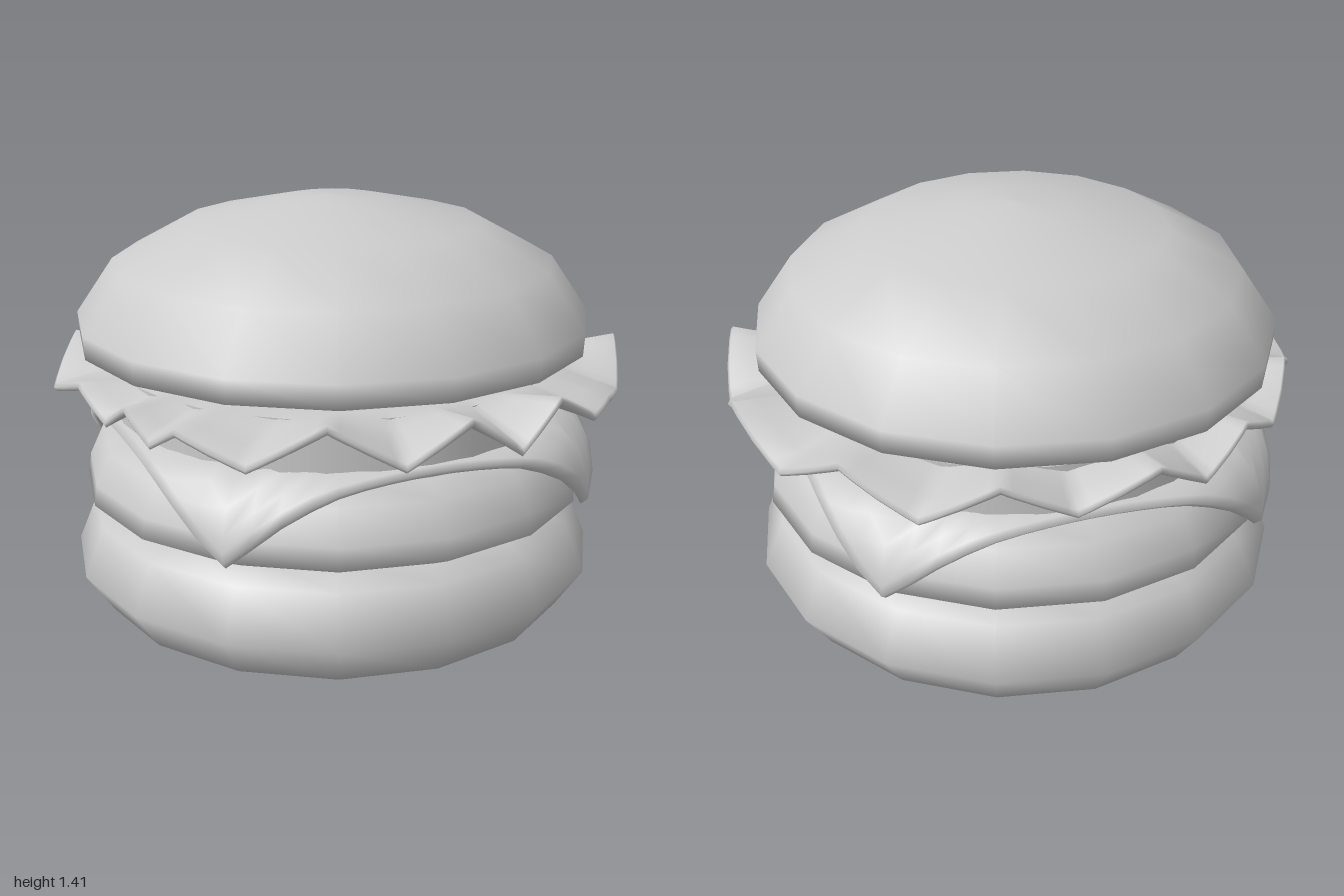
import * as THREE from 'three';

const material = () => new THREE.MeshStandardMaterial({ color: 0xcccccc, side: THREE.DoubleSide });
const CX = -0.03, CZ = -0.02; // common axis of the stacked round parts

// Round part turned from [radius, height] points, bottom to top
function turned(name, profile, sides) {
  const points = profile.map(([r, y]) => new THREE.Vector2(r, y));
  const mesh = new THREE.Mesh(new THREE.LatheGeometry(points, sides), material());
  mesh.name = name;
  mesh.position.set(CX, 0, CZ);
  return mesh;
}

// Closed skin over polar rings; each ring maps an angle to [radius, height]
function ringSkin(name, rings, angles) {
  const n = angles.length, pos = [], index = [];
  for (const ring of rings) {
    for (const a of angles) {
      const [r, y] = ring(a);
      pos.push(r * Math.sin(a), y, r * Math.cos(a));
    }
  }
  for (let i = 0; i < rings.length - 1; i++) {
    for (let j = 0; j < n; j++) {
      const k = (j + 1) % n;
      const a = i * n + j, b = i * n + k, c = b + n, d = a + n;
      index.push(a, d, b, b, d, c);
    }
  }
  const geo = new THREE.BufferGeometry();
  geo.setAttribute('position', new THREE.Float32BufferAttribute(pos, 3));
  geo.setIndex(index);
  geo.computeVertexNormals();
  const mesh = new THREE.Mesh(geo, material());
  mesh.name = name;
  return mesh;
}

// Linear lookup in rows of [key, a, b]
function lookup(rows, key) {
  let i = 0;
  while (i < rows.length - 2 && rows[i + 1][0] < key) i++;
  const p = rows[i], q = rows[i + 1];
  const t = THREE.MathUtils.clamp((key - p[0]) / (q[0] - p[0]), 0, 1);
  return [p[1] + (q[1] - p[1]) * t, p[2] + (q[2] - p[2]) * t];
}

// Square slice with its four corners hanging over the patty
function makeCheese() {
  const drape = [ // distance along the sheet, radius, height
    [0, 0, 0.69], [0.7, 0.7, 0.69], [0.79, 0.785, 0.68], [0.88, 0.86, 0.645],
    [0.97, 0.915, 0.575], [1.06, 0.938, 0.49], [1.16, 0.94, 0.415],
  ];
  const angles = Array.from({ length: 64 }, (_, i) => (i / 64) * Math.PI * 2);
  const edge = (a) => 1.16 / (Math.abs(Math.sin(a)) + Math.abs(Math.cos(a)));
  const steps = [0, 0.55, 0.66, 0.74, 0.82, 0.9, 0.96, 1];
  const top = steps.map((f) => (a) => lookup(drape, edge(a) * f));
  const under = steps.slice().reverse().map((f) => (a) => {
    const [r, y] = lookup(drape, edge(a) * f);
    return [Math.max(0, r - 0.025), y - 0.03 * (1.3 - f * 0.6)];
  });
  const cheese = ringSkin('cheese', [...top, ...under], angles);
  cheese.position.set(CX, 0, CZ);
  return cheese;
}

// Leaf with a ruffled rim
function makeLettuce() {
  const rim = [ // angle from the front in degrees, radius, height
    [-61, 1.0, 0.77], [-43, 0.95, 0.86], [-32, 0.935, 0.78], [-24, 0.945, 0.86], [-16, 0.965, 0.78],
    [-9, 0.985, 0.85], [5, 0.995, 0.77], [19, 0.97, 0.9], [33, 0.97, 0.77], [45, 0.98, 0.9],
    [56, 0.98, 0.77], [66, 0.975, 0.9], [80, 0.97, 0.78], [91, 0.965, 0.785], [102, 0.98, 0.76],
    [114, 0.99, 0.9], [130, 0.985, 0.76], [145, 1.02, 0.89], [160, 1.0, 0.76], [175, 0.99, 0.88],
    [191, 1.015, 0.77], [205, 0.99, 0.89], [219, 0.96, 0.77], [234, 0.99, 0.89], [246, 0.97, 0.77],
    [259, 0.955, 0.87], [271, 0.97, 0.78], [285, 0.96, 0.9], [299, 1.0, 0.77],
  ];
  const angles = [];
  for (let i = 0; i < rim.length - 1; i++) {
    for (const t of [0, 0.15, 0.5, 0.85]) {
      angles.push(THREE.MathUtils.degToRad(rim[i][0] + (rim[i + 1][0] - rim[i][0]) * t));
    }
  }
  const ring = (f, drop) => (a) => { // f runs from the flat middle to the rim
    const [r, y] = lookup(rim, THREE.MathUtils.radToDeg(a));
    return [0.7 + (r - 0.7) * f, 0.85 + (y - 0.85) * f - drop];
  };
  const middle = (y) => () => [0, y];
  const fractions = [0, 0.35, 0.7, 0.97];
  const top = fractions.map((f) => ring(f, -0.008));
  const under = fractions.slice().reverse().map((f) => ring(f, 0.02));
  return ringSkin('lettuce', [middle(0.858), ...top, ring(1, 0.006), ...under, middle(0.83)], angles);
}

export function createModel() {
  const burger = new THREE.Group();
  burger.name = 'burger';
  burger.add(
    turned('bottomBun', [[0, 0], [0.84, 0], [0.935, 0.14], [0.865, 0.31], [0.74, 0.36], [0, 0.36]], 16),
    turned('patty', [[0, 0.355], [0.8, 0.355], [0.89, 0.4], [0.88, 0.47], [0.83, 0.58], [0.73, 0.64], [0, 0.645]], 16),
    makeCheese(),
    turned('tomato', [[0.775, 0.64], [0.775, 0.85]], 32),
    makeLettuce(),
    turned('topBun', [[0, 0.86], [0.7, 0.86], [0.895, 0.92], [0.9, 1.0], [0.77, 1.19], [0.52, 1.325], [0.18, 1.4], [0, 1.41]], 16),
  );
  return burger;
}
